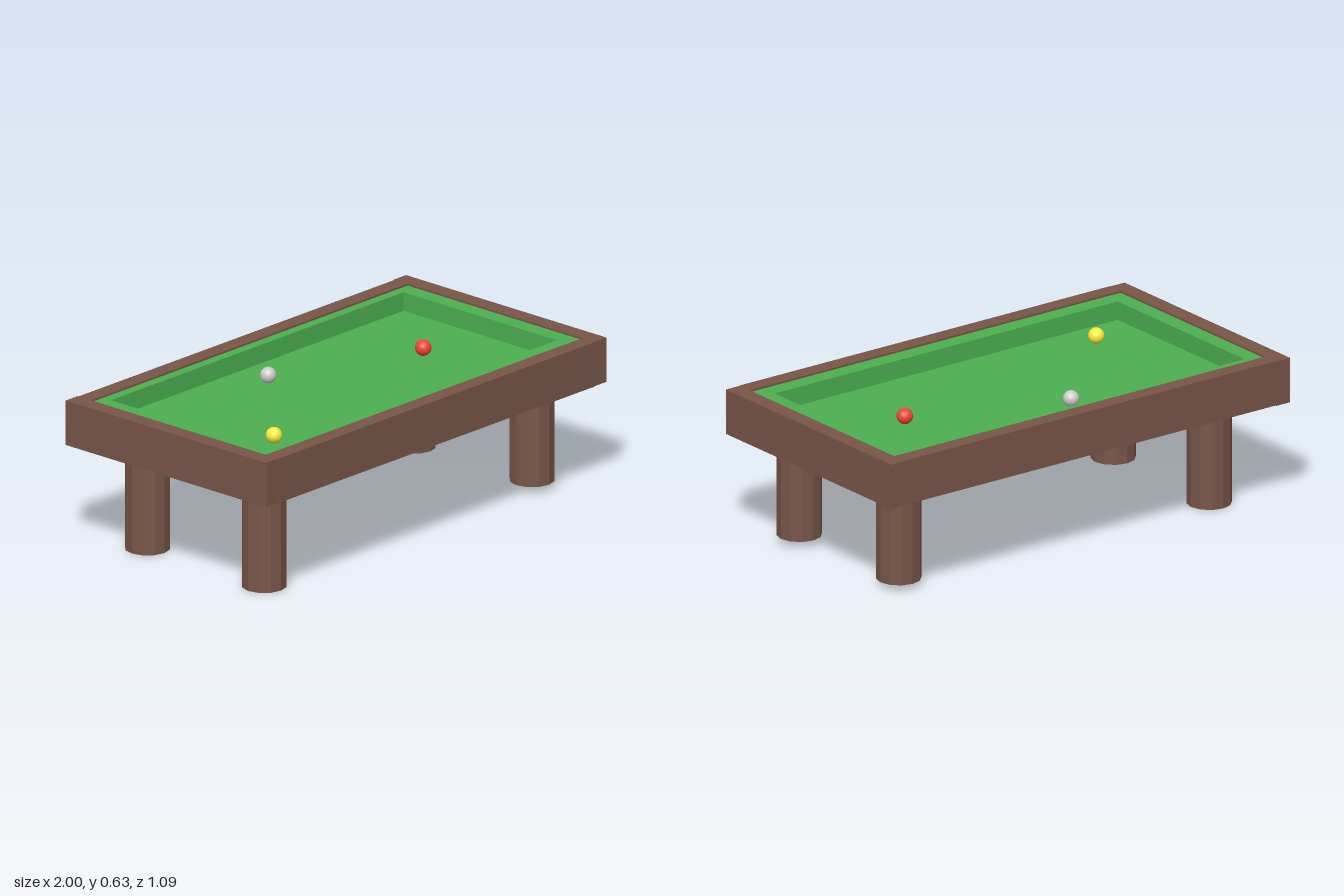
import * as THREE from 'three';

const mat = (color, flatShading = false) => new THREE.MeshStandardMaterial({ color, flatShading });

export function createModel() {
  const table = new THREE.Group();
  table.name = 'poolTable';
  const wood = mat(0x795548, true);
  const felt = mat(0x4caf50, true);

  const add = (name, geometry, material, x, y, z) => {
    const mesh = new THREE.Mesh(geometry, material);
    mesh.name = name;
    mesh.position.set(x, y, z);
    table.add(mesh);
    return mesh;
  };
  // Box given by its lower and upper corners
  const box = (name, material, [x0, y0, z0], [x1, y1, z1]) =>
    add(name, new THREE.BoxGeometry(x1 - x0, y1 - y0, z1 - z0), material,
      (x0 + x1) / 2, (y0 + y1) / 2, (z0 + z1) / 2);

  // Wooden rails: the end rails sit slightly further back than the long ones
  for (const s of [-1, 1]) {
    const side = s < 0 ? 'right' : 'left';
    box(side + 'EndRail', wood, [s * 0.965 - 0.035, 0.44, -0.545], [s * 0.965 + 0.035, 0.628, 0.537]);
    box(s < 0 ? 'backRail' : 'frontRail', wood,
      [-0.93, 0.44, s * 0.506 - 0.034], [0.93, 0.628, s * 0.506 + 0.034]);
  }

  // Underside and playing bed
  box('basePanel', wood, [-0.93, 0.44, -0.475], [0.93, 0.5, 0.475]);
  box('bed', felt, [-0.93, 0.5, -0.475], [0.93, 0.542, 0.475]);

  // Cushion ring with an open centre; shape y runs towards the back
  const ring = new THREE.Shape([[-0.93, -0.473], [0.93, -0.473], [0.93, 0.475], [-0.93, 0.475]]
    .map(p => new THREE.Vector2(...p)));
  ring.holes.push(new THREE.Path([[-0.86, -0.4], [-0.86, 0.43], [0.86, 0.43], [0.86, -0.4]]
    .map(p => new THREE.Vector2(...p))));
  const cushion = new THREE.ExtrudeGeometry(ring, { depth: 0.078, bevelEnabled: false });
  cushion.rotateX(-Math.PI / 2);
  add('cushion', cushion, felt, 0, 0.542, 0);

  // Legs, each [name, x, bottom, z]
  const leg = new THREE.CylinderGeometry(0.091, 0.091, 0.43, 12);
  for (const [name, x, y, z] of [
    ['frontRightLeg', -0.78, 0, 0.325],
    ['backRightLeg', -0.77, 0, -0.315],
    ['frontLeftLeg', 0.794, 0.03, 0.325],
    ['backLeftLeg', 0.773, 0.025, -0.297],
  ]) add(name, leg, wood, x, y + 0.215, z);

  // Balls
  const ball = new THREE.SphereGeometry(0.033, 24, 16);
  add('whiteBall', ball, mat(0xcccccc), -0.12, 0.572, -0.26);
  add('redBall', ball, mat(0xf44336), 0.53, 0.574, -0.02);
  add('yellowBall', ball, mat(0xffeb3b), -0.63, 0.575, 0.24);

  return table;
}
